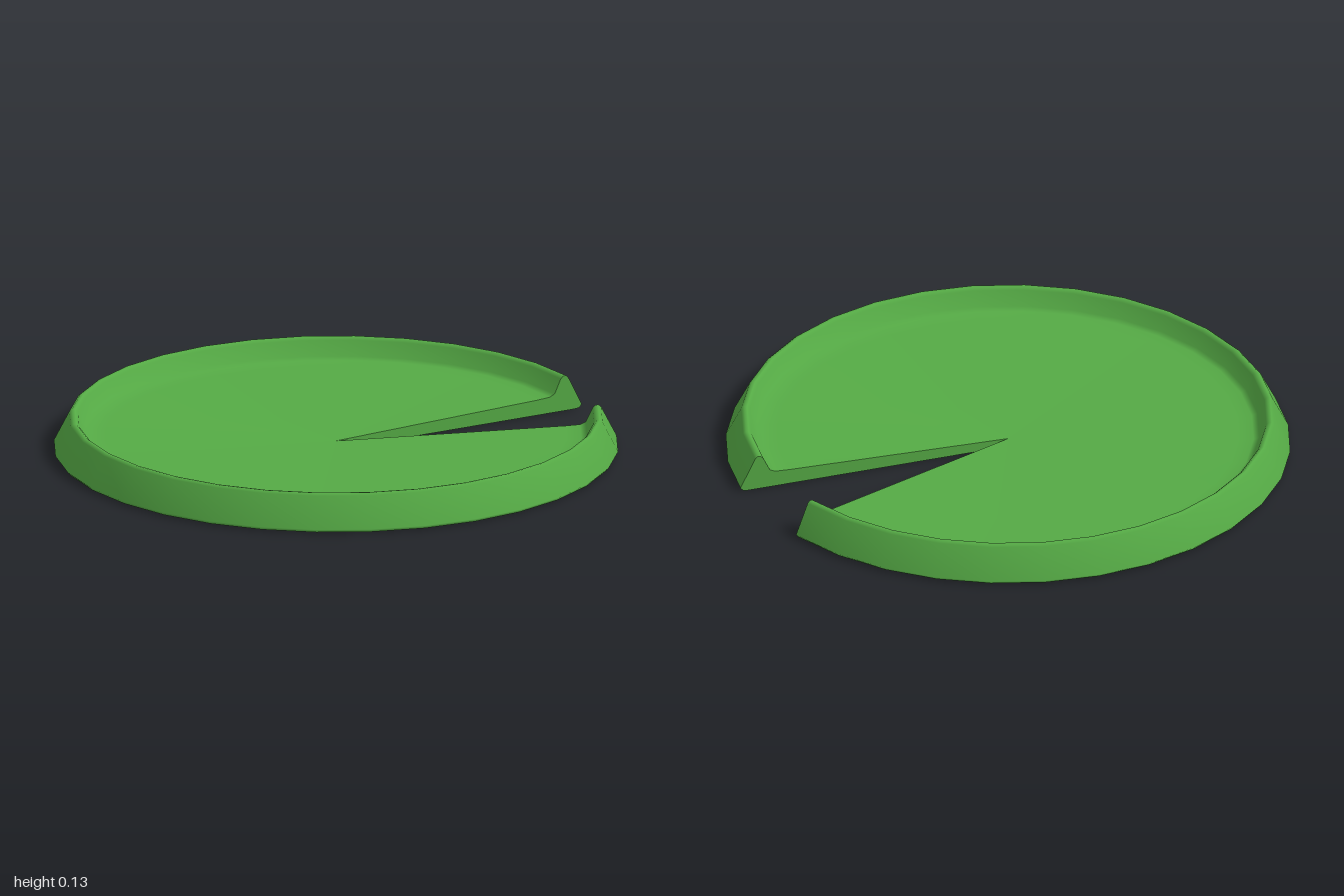
import * as THREE from 'three';

export function createModel() {
  const group = new THREE.Group();
  group.name = 'lilyPad';
  const material = new THREE.MeshStandardMaterial({ color: 0x55aa45 });
  const half = Math.PI / 16; // half angle of the slit

  // Cross-section, from the underside centre round the rim to the top centre
  const profile = [
    [0, 0], [0.97, 0], [0.99, 0.002], [1, 0.014], [0.945, 0.122], [0.935, 0.13],
    [0.925, 0.129], [0.915, 0.12], [0.89, 0.068], [0.87, 0.059], [0.82, 0.056], [0, 0.032],
  ].map(([r, y]) => new THREE.Vector2(r, y));

  function add(name, geometry) {
    const mesh = new THREE.Mesh(geometry, material);
    mesh.name = name;
    mesh.position.x = 0.01;
    group.add(mesh);
  }

  // Dished leaf with raised rim, open at the slit
  add('leaf', new THREE.LatheGeometry(profile, 30, Math.PI / 2 + half, 2 * Math.PI - 2 * half));

  // Walls closing the two sides of the slit
  const wall = (side) => new THREE.ShapeGeometry(
    new THREE.Shape(profile.map((p) => new THREE.Vector2(p.x * side, p.y))));
  add('slitWallBack', wall(1).rotateY(half));
  add('slitWallFront', wall(-1).rotateY(Math.PI - half));

  return group;
}
